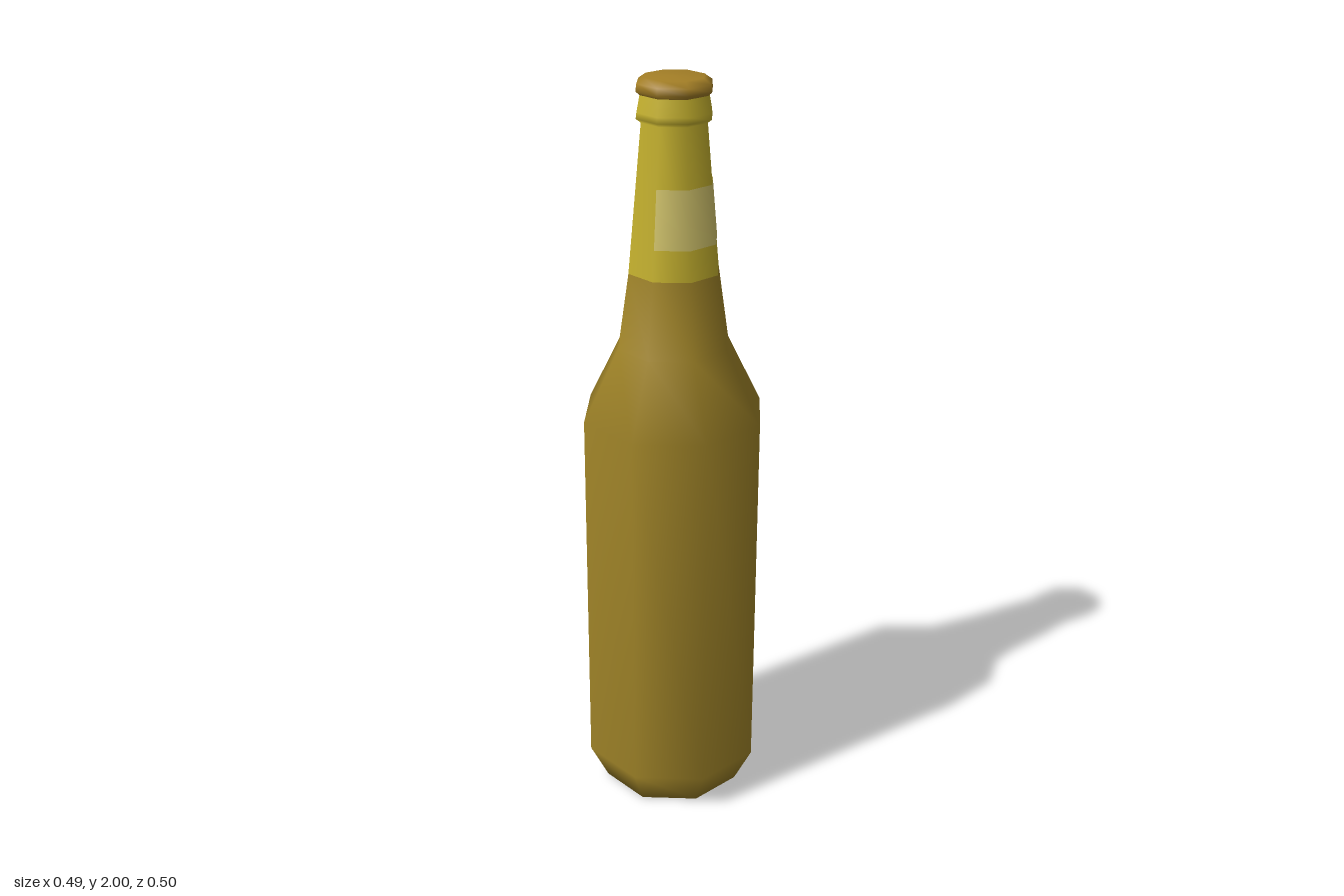
import * as THREE from 'three';

const SIDES = 8;
const TURN = 0.055; // small twist of the octagonal section

function material(name, color) {
  const m = new THREE.MeshStandardMaterial({ color });
  m.name = name;
  return m;
}

// Smooth-shaded octagonal turning from [radius, height] pairs, bottom to top
function turned(name, profile, mat, sides = SIDES) {
  const points = profile.map(([r, y]) => new THREE.Vector2(r, y));
  const geometry = new THREE.LatheGeometry(points, sides, TURN, (sides / SIDES) * Math.PI * 2);
  const mesh = new THREE.Mesh(geometry, mat);
  mesh.name = name;
  return mesh;
}

export function createModel() {
  const glass = material('brown glass', 0xa08428);
  const foil = material('yellow foil', 0xc6b22e);
  const pale = material('pale label', 0xd2c46c);
  const capMat = material('cap bronze', 0xa47f26);

  const bottle = new THREE.Group();
  bottle.name = 'bottle';

  // Body: chamfered base, straight sides, shoulder and lower neck
  bottle.add(turned('body', [
    [0, 0], [0.197, 0.004], [0.247, 0.105], [0.247, 1.12], [0.152, 1.31], [0.122, 1.51],
  ], glass));

  // Foil on the upper neck, with the flared collar
  bottle.add(turned('neckFoil', [
    [0.122, 1.51], [0.087, 1.89], [0.1, 1.9], [0.098, 1.915], [0.09, 1.957],
  ], foil));

  // Crown cap
  bottle.add(turned('cap', [
    [0.088, 1.955], [0.1, 1.966], [0.098, 1.984], [0.078, 1.998], [0, 2],
  ], capMat));

  // Pale label wrapped around the left side of the neck
  const label = turned('neckLabel', [[0.1167, 1.59], [0.1029, 1.74]], pale, 5);
  label.material.side = THREE.DoubleSide;
  // Pull the last column back so the label ends part way along its facet
  const p = label.geometry.attributes.position;
  const a = new THREE.Vector3(), b = new THREE.Vector3();
  for (let j = 0; j < 2; j++) {
    a.fromBufferAttribute(p, 8 + j);
    b.fromBufferAttribute(p, 10 + j);
    a.lerp(b, 0.33);
    p.setXYZ(10 + j, a.x, a.y, a.z);
  }
  bottle.add(label);

  // Very slight backward lean
  bottle.rotation.x = -0.006;
  bottle.position.set(-0.001, 0, 0.004);

  const model = new THREE.Group();
  model.name = 'model';
  model.add(bottle);
  return model;
}
